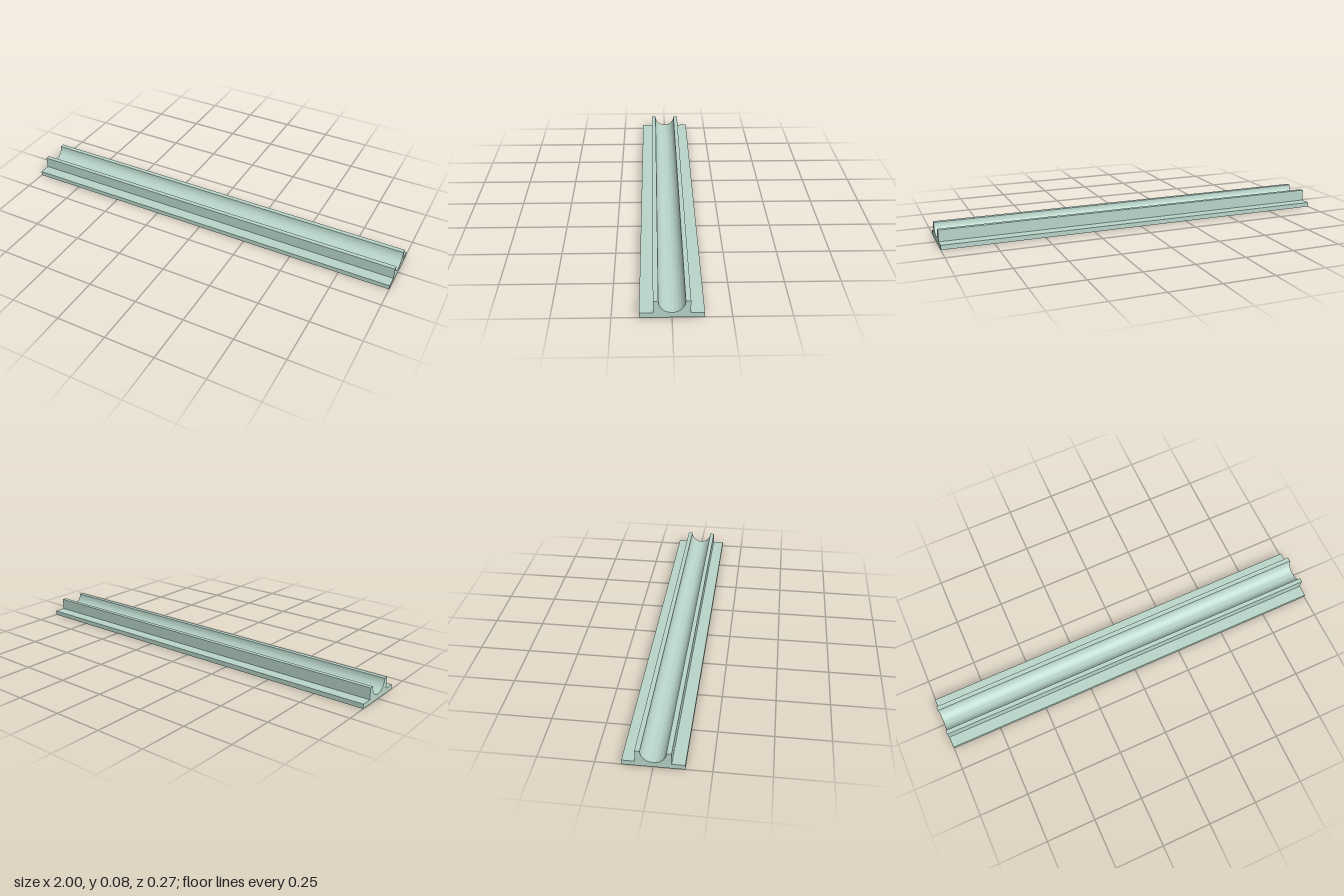
import * as THREE from 'three';
import { toCreasedNormals } from 'three/addons/utils/BufferGeometryUtils.js';

const LENGTH = 2;
const BASE_HALF = 0.135, BASE_TOP = 0.023; // flanged base
const WALL_HALF = 0.078, TOP = 0.08;       // upright walls
const GROOVE_R = 0.056;                    // half-round channel

export function createModel() {
  const group = new THREE.Group();
  group.name = 'grooveRail';

  // Cross-section: flat flanged base, two walls and a half-round channel
  const section = new THREE.Shape();
  section.moveTo(-BASE_HALF, 0);
  section.lineTo(BASE_HALF, 0);
  section.lineTo(BASE_HALF, BASE_TOP);
  section.lineTo(WALL_HALF, BASE_TOP);
  section.lineTo(WALL_HALF, TOP);
  section.lineTo(GROOVE_R, TOP);
  section.absarc(0, TOP, GROOVE_R, 0, -Math.PI, true);
  section.lineTo(-WALL_HALF, TOP);
  section.lineTo(-WALL_HALF, BASE_TOP);
  section.lineTo(-BASE_HALF, BASE_TOP);
  section.closePath();

  // Run the section along x, smooth in the channel and sharp at the corners
  const extruded = new THREE.ExtrudeGeometry(section, {
    depth: LENGTH, bevelEnabled: false, curveSegments: 40,
  });
  extruded.translate(0, 0, -LENGTH / 2);
  extruded.rotateY(Math.PI / 2);

  const rail = new THREE.Mesh(
    toCreasedNormals(extruded, 0.5),
    new THREE.MeshStandardMaterial({ color: 0xb9d5ca }),
  );
  rail.name = 'rail';
  group.add(rail);
  return group;
}
